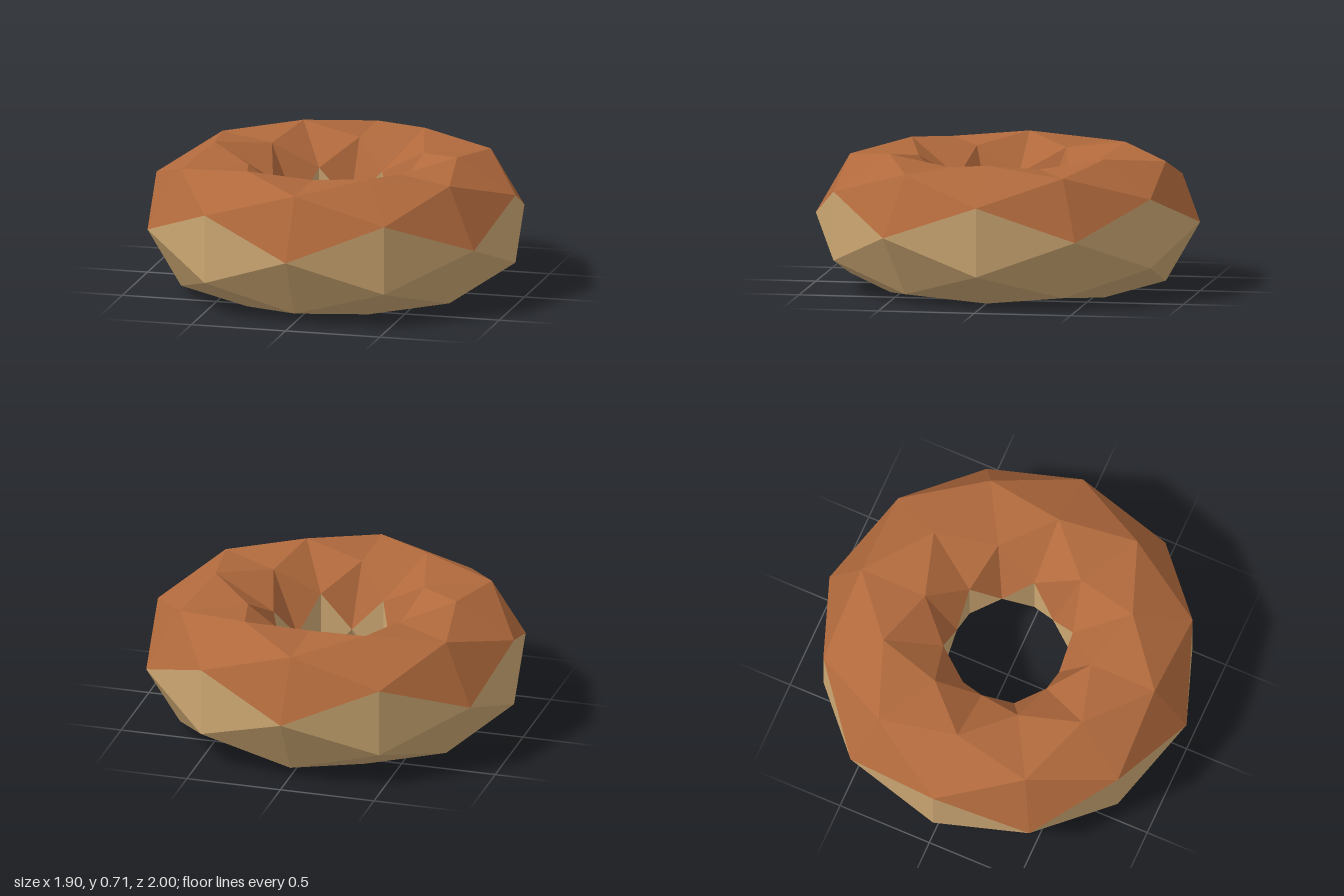
import * as THREE from 'three';

const RING = 0.643;   // centre of the tube
const TUBE = 0.357;   // radius of the tube
const COLUMNS = 12;   // cross-sections around the ring, alternately twisted
const SIDES = 6;      // points in each cross-section
const STEP = Math.PI / 6;

// Point on the torus: column index around the ring, phi around the tube
function point(column, phi) {
  const theta = column * STEP;
  const r = RING + TUBE * Math.cos(phi);
  return [r * Math.cos(theta), TUBE + TUBE * Math.sin(phi), r * Math.sin(theta)];
}

function facetMesh(name, positions, material) {
  const geometry = new THREE.BufferGeometry();
  geometry.setAttribute('position', new THREE.Float32BufferAttribute(positions, 3));
  geometry.computeVertexNormals(); // unshared corners give flat facets
  const mesh = new THREE.Mesh(geometry, material);
  mesh.name = name;
  return mesh;
}

export function createModel() {
  const icingMaterial = new THREE.MeshStandardMaterial({ color: 0xb0693c, flatShading: true });
  icingMaterial.name = 'icing brown';
  const doughMaterial = new THREE.MeshStandardMaterial({ color: 0xcda873, flatShading: true });
  doughMaterial.name = 'dough tan';

  const icing = [];
  const dough = [];
  for (let c = 0; c < COLUMNS; c++) {
    for (let i = 0; i < SIDES; i++) {
      // Each edge along a cross-section joins one point of both neighbours
      const phi = i * 2 * STEP + (c % 2 === 0 ? STEP : 0);
      const middle = phi + STEP;
      const low = point(c, phi);
      const high = point(c, phi + 2 * STEP);
      const target = Math.sin(middle) > 0.1 ? icing : dough;
      target.push(...low, ...high, ...point(c + 1, middle));
      target.push(...high, ...low, ...point(c - 1, middle));
    }
  }

  const group = new THREE.Group();
  group.name = 'doughnut';
  group.add(facetMesh('icing', icing, icingMaterial));
  group.add(facetMesh('dough', dough, doughMaterial));
  return group;
}
